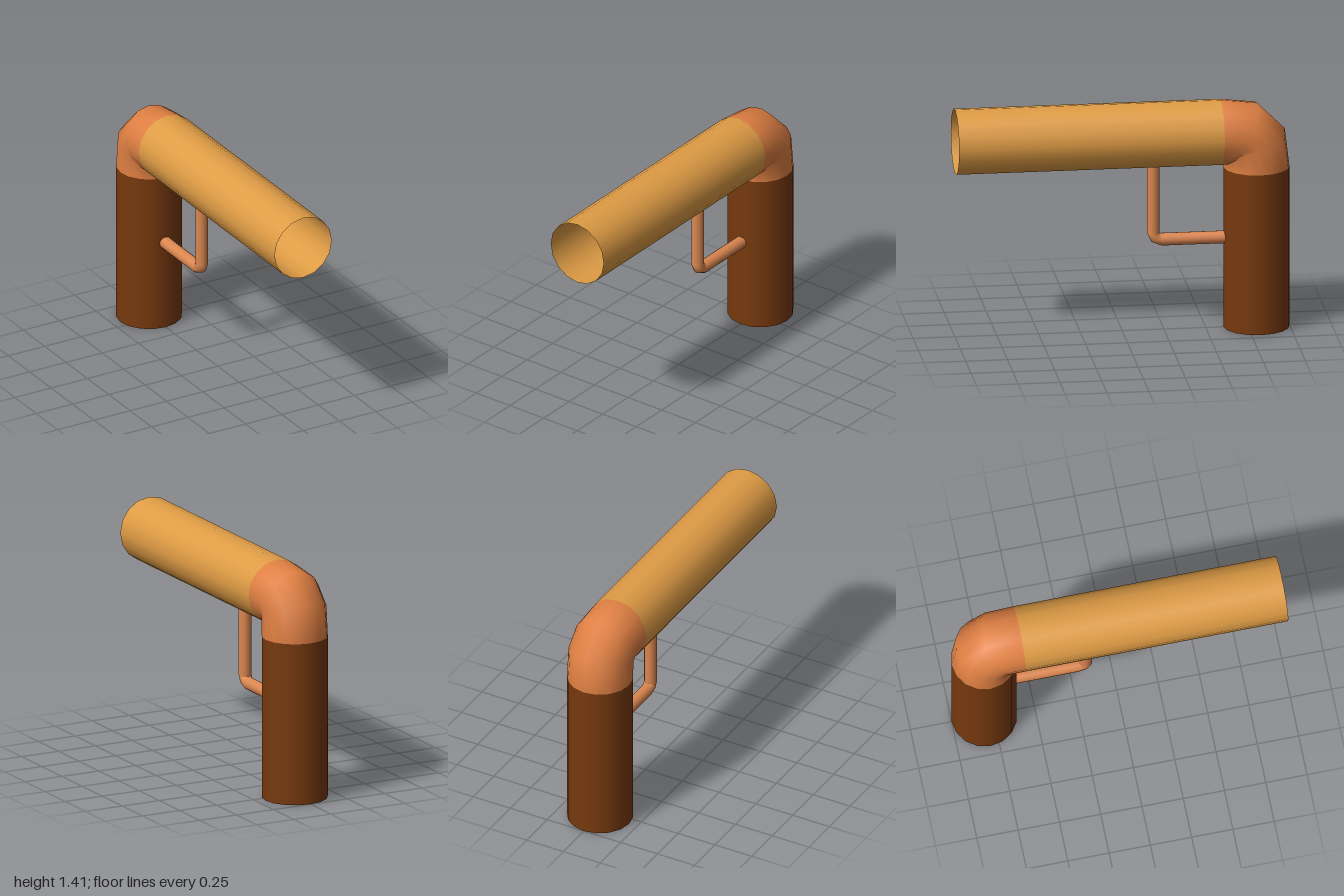
import * as THREE from 'three';

// Open smooth tube through rings [z, y, tilt]; tilt 0 runs to the back, 90 runs straight down
function tube(name, color, radius, sides, rings) {
  const positions = [], normals = [], index = [];
  rings.forEach(([z, y, tilt], r) => {
    const t = THREE.MathUtils.degToRad(tilt);
    for (let i = 0; i < sides; i++) {
      const a = (i / sides) * Math.PI * 2;
      const n = [Math.sin(a), Math.cos(a) * Math.cos(t), -Math.cos(a) * Math.sin(t)];
      normals.push(...n);
      positions.push(n[0] * radius, y + n[1] * radius, z + n[2] * radius);
      if (r < rings.length - 1) {
        const p = r * sides + i, q = r * sides + (i + 1) % sides;
        index.push(p, q, p + sides, q, q + sides, p + sides);
      }
    }
  });
  const geometry = new THREE.BufferGeometry();
  geometry.setAttribute('position', new THREE.Float32BufferAttribute(positions, 3));
  geometry.setAttribute('normal', new THREE.Float32BufferAttribute(normals, 3));
  geometry.setIndex(index);
  const mesh = new THREE.Mesh(geometry,
    new THREE.MeshStandardMaterial({ color, side: THREE.DoubleSide }));
  mesh.name = name;
  return mesh;
}

export function createModel() {
  const group = new THREE.Group();
  const R = 0.197, SIDES = 16;
  group.add(
    // long horizontal pipe, open at the front
    tube('barrel', 0xdf9c45, R, SIDES, [[1, 1.21, 0], [-0.59, 1.21, 0]]),
    // tight bend, folding on its inner side
    tube('elbow', 0xe08043, R, SIDES, [
      [-0.59, 1.21, 0], [-0.732, 1.2, 23], [-0.792, 1.141, 67], [-0.803, 0.99, 90]]),
    // upright pipe, open at the bottom
    tube('grip', 0x77390e, R, SIDES, [[-0.803, 0.99, 90], [-0.803, 0, 90]]),
    // thin bent rod between barrel and grip
    tube('triggerGuard', 0xdb8650, 0.038, SIDES, [
      [-0.187, 1.03, 90], [-0.187, 0.6, 90], [-0.201, 0.572, 45],
      [-0.235, 0.558, 0], [-0.615, 0.558, 0]])
  );
  return group;
}
